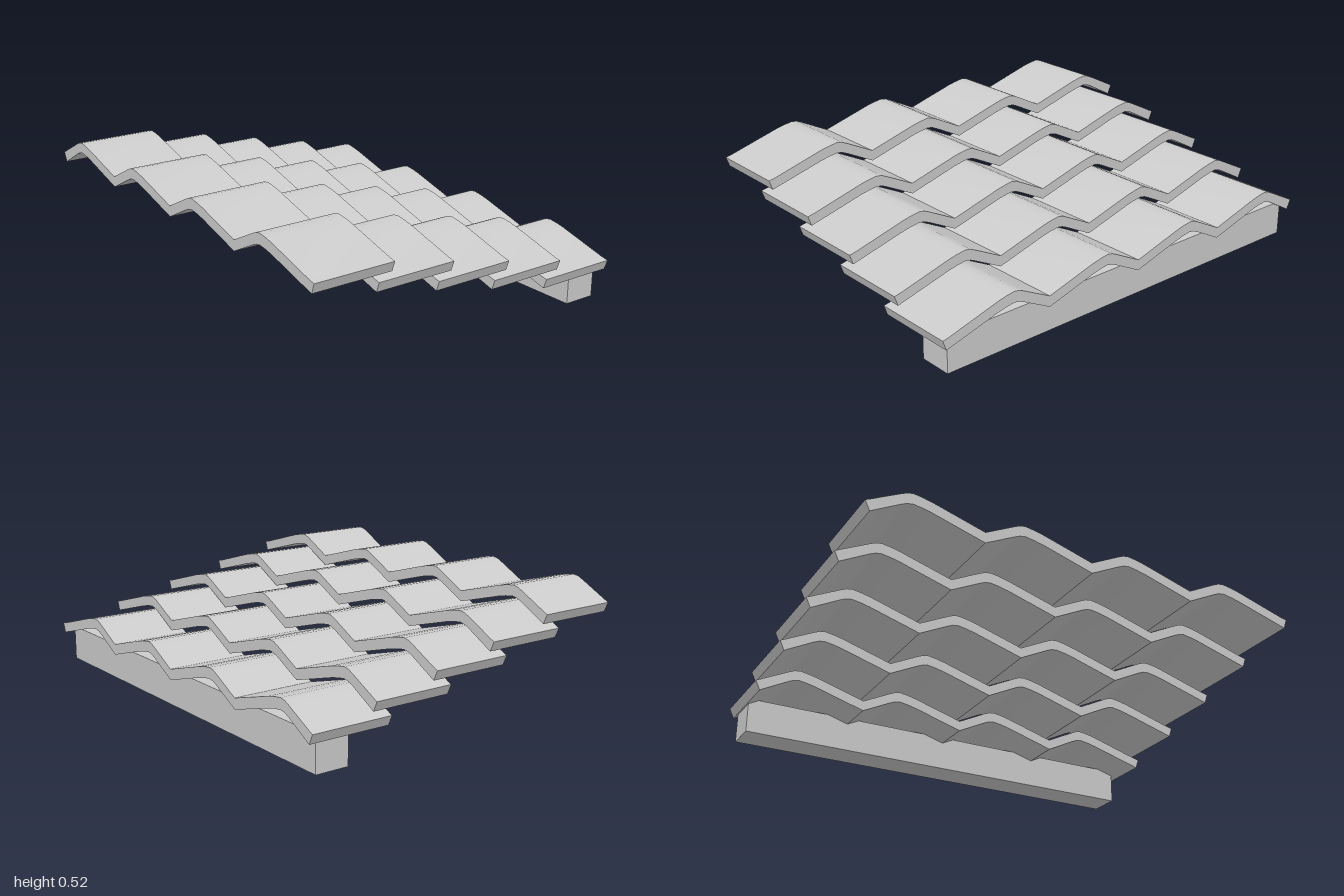
import * as THREE from 'three';
import { toCreasedNormals } from 'three/addons/utils/BufferGeometryUtils.js';

const PERIOD = 0.488, THICK = 0.047;

// one wave, as [z offset from its back valley, height]
const WAVE = [[0, 0.44], [0.13, 0.505], [0.155, 0.516], [0.18, 0.52], [0.22, 0.514], [0.26, 0.505]];

// wavy cross-section of a tile course, extruded along x
function courseGeometry(width) {
  const top = [[-1, 0.433]];
  for (let i = 0; i < 4; i++) {
    const valley = -0.984 + i * PERIOD;
    for (const [dz, y] of WAVE) top.push([valley + dz, y]);
  }
  top.push([0.968, 0.44], [1, 0.433]);
  // the underside follows the top, with slightly undercut ends
  const under = top.slice(1, -1).map(([z, y]) => [z, y - THICK]);
  under[0] = [-0.98, 0.39];
  under[under.length - 1] = [0.985, 0.39];
  const outline = [...top, ...under.reverse()].map(([z, y]) => new THREE.Vector2(-z, y));
  const geometry = new THREE.ExtrudeGeometry(new THREE.Shape(outline), { depth: width, bevelEnabled: false });
  geometry.rotateY(Math.PI / 2);
  return toCreasedNormals(geometry, 0.4);
}

export function createModel() {
  const group = new THREE.Group();
  group.name = 'roofTiles';
  const material = new THREE.MeshStandardMaterial({ color: 0xcccccc });

  // five overlapping courses stepping down towards the eave
  const tiles = courseGeometry(0.363);
  for (let i = 0; i < 5; i++) {
    const course = new THREE.Mesh(tiles, material);
    course.name = `tileCourse${i + 1}`;
    course.position.set(-0.763 + i * 0.2905, -i * 0.0662, 0);
    group.add(course);
  }

  // batten under the lowest course
  const batten = new THREE.Mesh(new THREE.BoxGeometry(0.147, 0.156, 1.925), material);
  batten.name = 'batten';
  batten.position.set(0.653, 0.078, -0.008);
  group.add(batten);

  return group;
}
